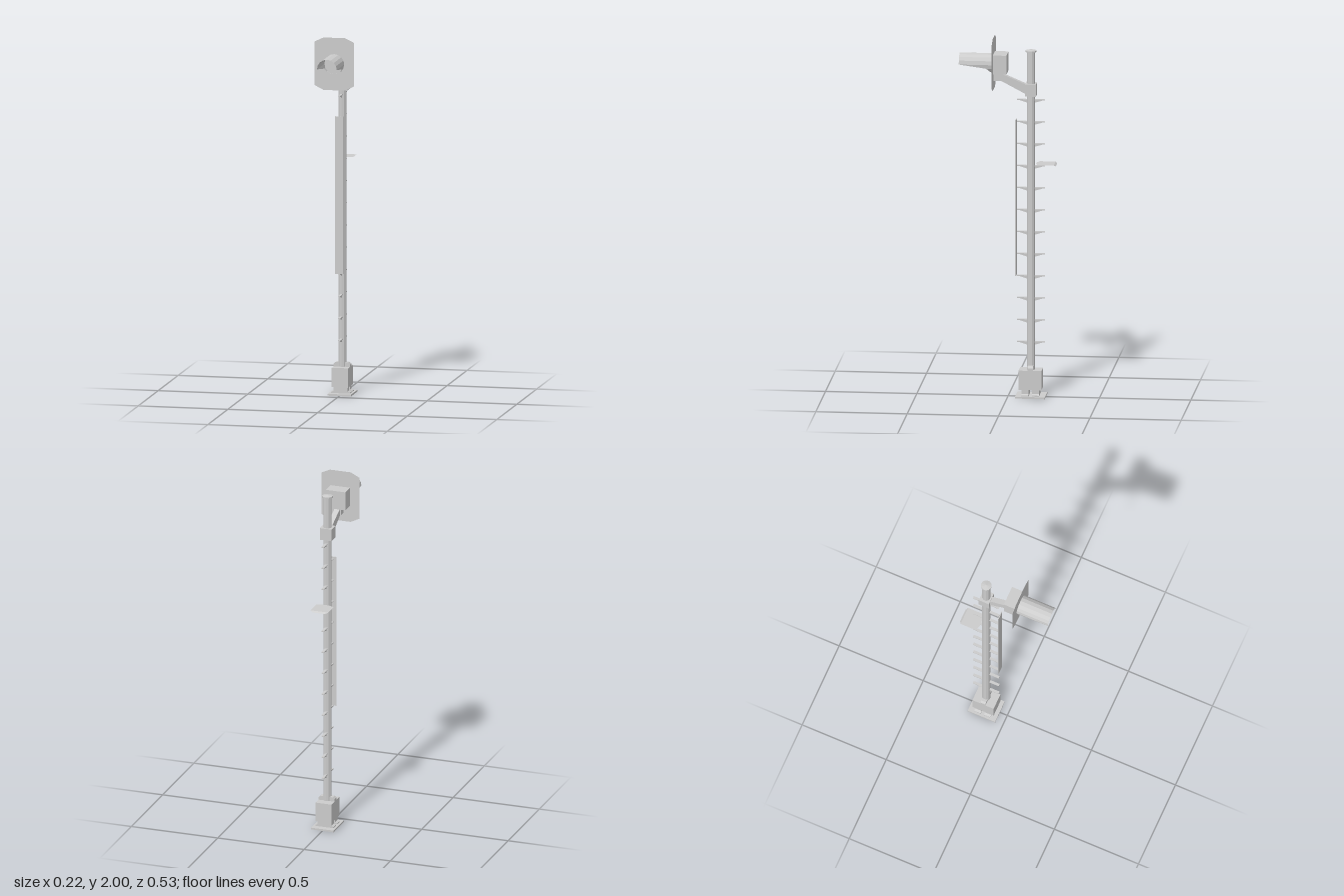
import * as THREE from 'three';

const mat = new THREE.MeshStandardMaterial({ color: 0xcccccc, flatShading: true, side: THREE.DoubleSide });
const POLE_Z = -0.125;

export function createModel() {
  const root = new THREE.Group();

  const add = (name, geo, x = 0, y = 0, z = 0, parent = root) => {
    const m = new THREE.Mesh(geo, mat);
    m.name = name;
    m.position.set(x, y, z);
    parent.add(m);
    return m;
  };
  // box given by its limits
  const box = (name, x0, x1, y0, y1, z0, z1, parent) =>
    add(name, new THREE.BoxGeometry(x1 - x0, y1 - y0, z1 - z0), (x0 + x1) / 2, (y0 + y1) / 2, (z0 + z1) / 2, parent);
  const shape = (pts) => new THREE.Shape(pts.map(([a, b]) => new THREE.Vector2(a, b)));
  const extrude = (pts, depth) =>
    new THREE.ExtrudeGeometry(shape(pts), { depth, bevelEnabled: false }).translate(0, 0, -depth / 2);
  // side profile given as [z, y], extruded across x
  const sideExtrude = (pts, width) => extrude(pts.map(([z, y]) => [-z, y]), width).rotateY(Math.PI / 2);

  // base plate, feet and pedestal
  box('basePlate', -0.065, 0.065, 0, 0.01, -0.207, -0.044);
  for (const z of [-0.096, -0.154]) {
    add('foot', extrude([[-0.053, 0.01], [0.053, 0.01], [0.053, 0.016], [0.04, 0.022], [0.04, 0.046],
      [-0.04, 0.046], [-0.04, 0.022], [-0.053, 0.016]], 0.038), 0, 0, z);
  }
  box('pedestal', -0.046, 0.046, 0.045, 0.152, -0.187, -0.061);
  add('pedestalGusset', extrude([[-0.046, 0.152], [0.046, 0.152], [0.046, 0.166], [0.036, 0.176],
    [-0.036, 0.176], [-0.046, 0.166]], 0.03), 0, 0, POLE_Z);

  // pole with cap
  add('pole', new THREE.CylinderGeometry(0.023, 0.023, 1.775, 10), 0, 1.0395, POLE_Z);
  add('poleCapRim', new THREE.CylinderGeometry(0.03, 0.03, 0.008, 10), 0, 1.927, POLE_Z);
  add('poleCap', new THREE.ConeGeometry(0.03, 0.006, 10), 0, 1.934, POLE_Z);

  // climbing steps, one pair per level
  for (let i = 0; i < 12; i++) {
    const level = new THREE.Group();
    level.name = 'stepPair';
    level.position.set(0, 0.306 + i * 0.1228, POLE_Z);
    root.add(level);
    for (const s of [1, -1]) {
      const side = new THREE.Group();
      side.name = s > 0 ? 'frontStep' : 'backStep';
      side.rotation.y = s > 0 ? 0 : Math.PI;
      level.add(side);
      box('stepTread', -0.007, 0.007, -0.003, 0.002, 0.018, 0.077, side);
      add('stepGusset', sideExtrude([[0.018, -0.002], [0.07, -0.002], [0.018, -0.018]], 0.006), 0, 0, 0, side);
    }
  }

  // long marker strip in front of the steps
  box('markerStrip', -0.023, 0.023, 0.675, 1.545, -0.046, -0.041);

  // standing platform behind the pole, with a folded back lip
  const deck = shape([[-0.051, 0.255], [0.051, 0.255], [0.051, 0.168], [0.02, 0.155], [-0.02, 0.155], [-0.051, 0.168]]);
  add('platform', new THREE.ShapeGeometry(deck).rotateX(-Math.PI / 2), 0, 1.302, 0);
  const lip = new THREE.PlaneGeometry(0.102, 0.01).rotateX(-Math.PI / 2);
  const lp = lip.attributes.position;
  for (let i = 0; i < lp.count; i++) {
    if (lp.getZ(i) < 0) lp.setXYZ(i, Math.sign(lp.getX(i)) * 0.036, -0.007, lp.getZ(i));
  }
  add('platformLip', lip, 0, 1.302, -0.26);

  // clamp and arm carrying the lamp
  box('poleClamp', -0.034, 0.034, 1.68, 1.748, -0.155, -0.095);
  add('lampArm', sideExtrude([[-0.1, 1.688], [0.037, 1.76], [0.037, 1.8], [-0.1, 1.742]], 0.03));
  box('lampMount', -0.02, 0.02, 1.76, 1.806, 0.037, 0.077);
  box('lampHousing', -0.056, 0.056, 1.805, 1.91, 0.004, 0.078);

  // target board
  add('targetBoard', new THREE.ShapeGeometry(shape([[-0.06, 1.71], [0.06, 1.71], [0.11, 1.735], [0.11, 1.976],
    [0.06, 2], [-0.06, 2], [-0.11, 1.976], [-0.11, 1.735]])), 0, 0, 0.079);

  // hood: open tube whose lower front is cut away
  const r = 0.055;
  const hood = new THREE.CylinderGeometry(r, r, 1, 16, 1, true).rotateX(Math.PI / 2);
  const hp = hood.attributes.position;
  for (let i = 0; i < hp.count; i++) {
    const y = hp.getY(i);
    const end = y > -0.01 ? 0.265 : 0.08 + 0.036 * (y + r) / (r - 0.021);
    hp.setZ(i, hp.getZ(i) > 0 ? end : 0.079);
  }
  add('lampHood', hood, 0, 1.855, 0);

  return root;
}
